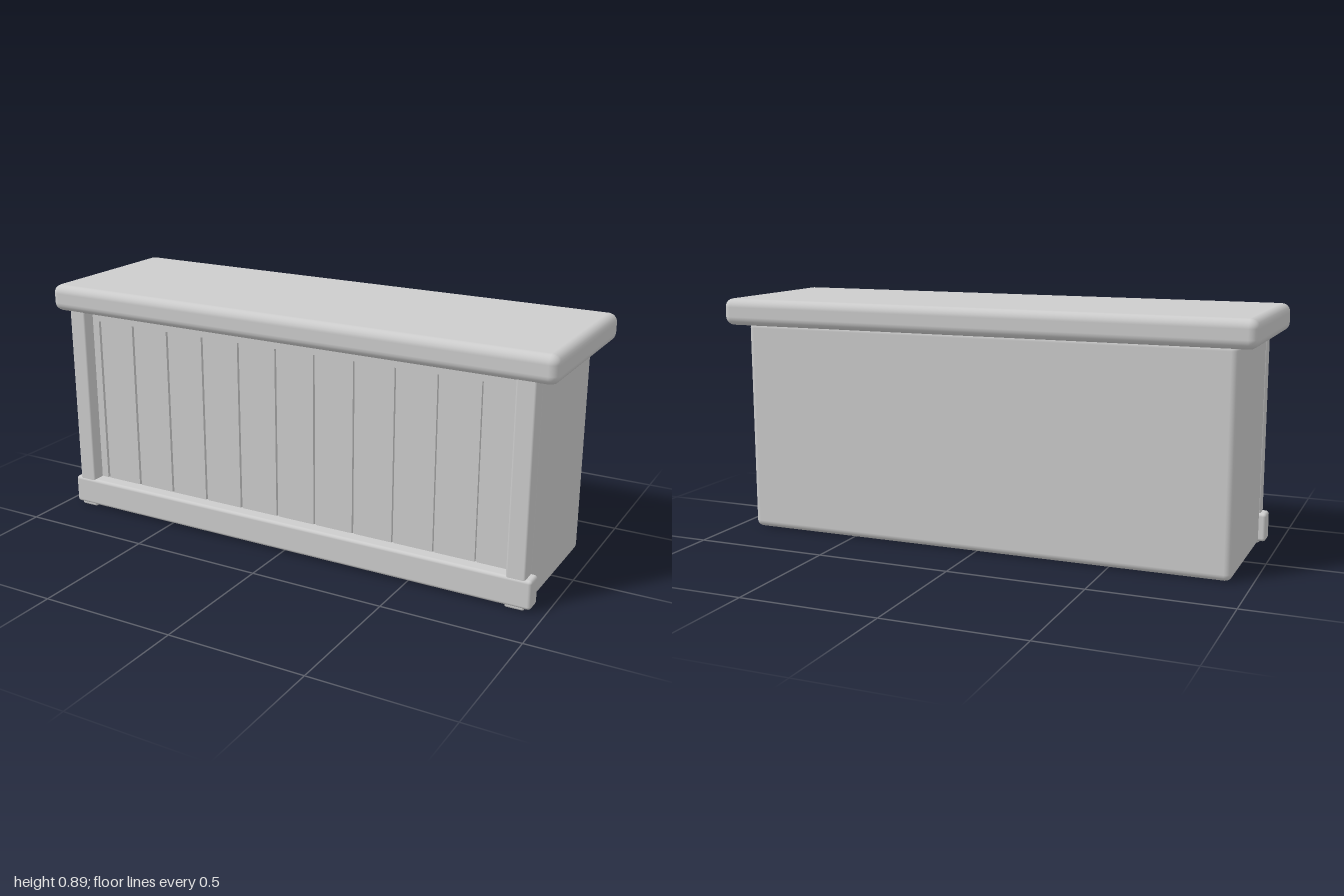
import * as THREE from 'three';
import { RoundedBoxGeometry } from 'three/addons/geometries/RoundedBoxGeometry.js';

export function createModel() {
  const group = new THREE.Group();
  group.name = 'barCounter';
  const grey = new THREE.MeshStandardMaterial({ color: 0xcccccc });
  grey.name = 'plain grey';

  const add = (name, geometry) => {
    const mesh = new THREE.Mesh(geometry, grey);
    mesh.name = name;
    group.add(mesh);
    return mesh;
  };

  // Rounded block given by its extents on each axis
  const block = (name, [x0, x1], [y0, y1], [z0, z1], radius) => {
    const mesh = add(name, new RoundedBoxGeometry(x1 - x0, y1 - y0, z1 - z0, 3, radius));
    mesh.position.set((x0 + x1) / 2, (y0 + y1) / 2, (z0 + z1) / 2);
  };

  // Counter top and cabinet body
  block('counterTop', [-1, 1], [0.788, 0.888], [-0.32, 0.32], 0.032);
  block('body', [-0.93, 0.93], [0, 0.8], [-0.26, 0.243], 0.025);

  // Front panel with narrow vertical grooves between the planks
  const panel = new THREE.Shape();
  panel.moveTo(-0.925, 0.02).lineTo(0.925, 0.02).lineTo(0.925, 0.79).lineTo(-0.925, 0.79).closePath();
  for (let i = 0; i < 11; i++) {
    const x = -0.827 + i * 0.1563, w = 0.005;
    const groove = new THREE.Path();
    groove.moveTo(x - w, 0.09).lineTo(x - w, 0.752).lineTo(x + w, 0.752).lineTo(x + w, 0.09).closePath();
    panel.holes.push(groove);
  }
  add('plankPanel', new THREE.ExtrudeGeometry(panel, { depth: 0.055, bevelEnabled: false }))
    .position.z = 0.2;

  // Corner posts and base board
  for (const [name, x] of [['leftPost', 0.895], ['rightPost', -0.895]]) {
    block(name, [x - 0.035, x + 0.035], [0, 0.8], [0.25, 0.303], 0.008);
  }
  block('baseBoard', [-0.953, 0.953], [0.008, 0.115], [0.24, 0.306], 0.012);

  return group;
}
